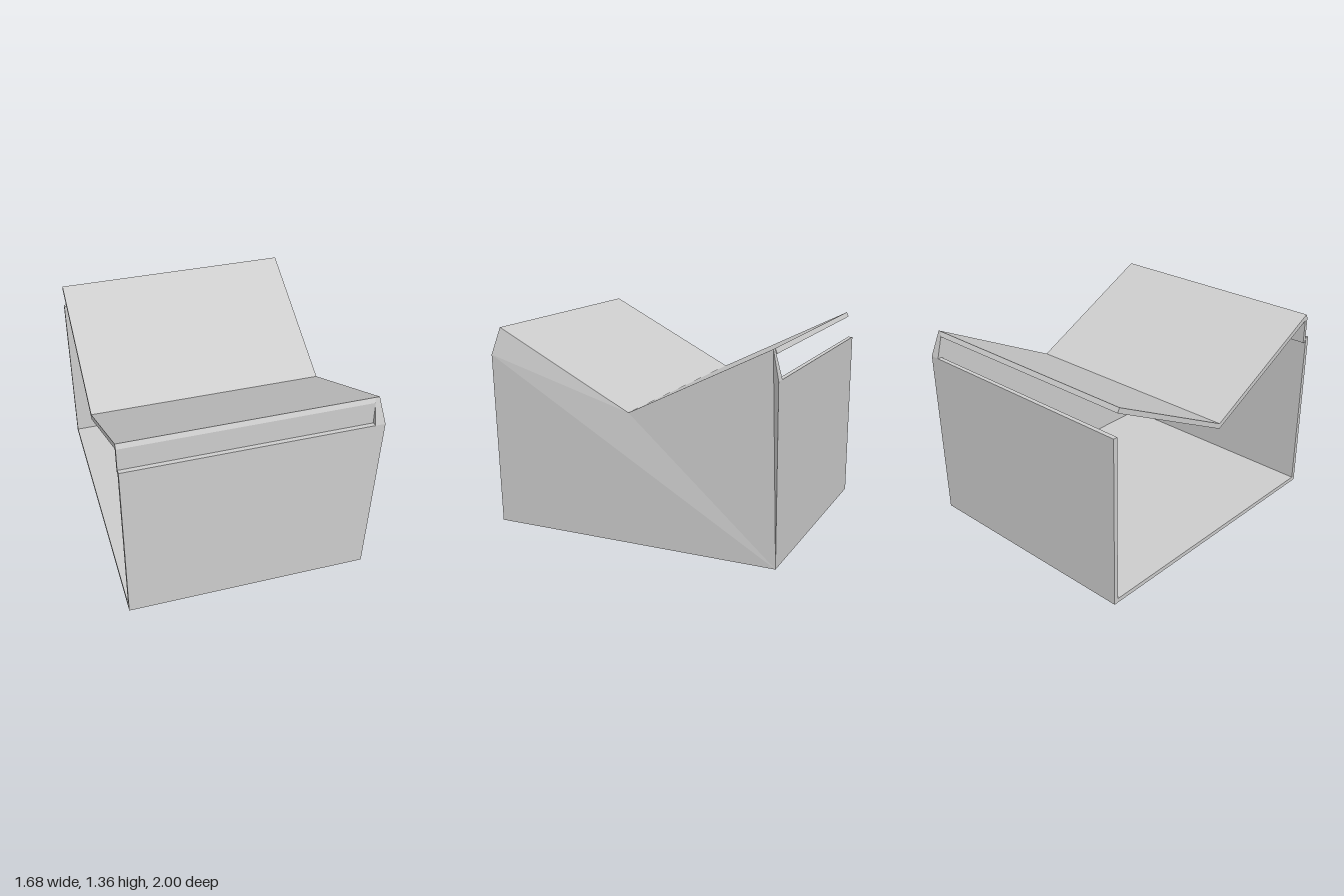
import * as THREE from 'three';

const OPEN = -0.84, INNER = 0.77, T = 0.03;

export function createModel() {
  const group = new THREE.Group();
  group.name = 'butterflyRoofShelter';
  const grey = new THREE.MeshStandardMaterial({ color: 0xcccccc });
  grey.name = 'plain grey';

  const add = (name, geometry) => {
    const mesh = new THREE.Mesh(geometry, grey);
    mesh.name = name;
    group.add(mesh);
  };

  // Panel with a [z, y] profile, running from the open end to the end wall
  const panel = (name, profile) => {
    const shape = new THREE.Shape(profile.map(([z, y]) => new THREE.Vector2(-z, y)));
    const geometry = new THREE.ExtrudeGeometry(shape, { depth: INNER - OPEN, bevelEnabled: false });
    geometry.rotateY(Math.PI / 2).translate(OPEN, 0, 0);
    add(name, geometry);
  };
  const rect = (z0, z1, y0, y1) => [[z0, y0], [z1, y0], [z1, y1], [z0, y1]];

  panel('floor', rect(-1 + T, 1 - T, 0, T));
  panel('frontWall', rect(1 - T, 1, 0, 1.18));
  panel('backWall', rect(-1, -1 + T, 0, 1.18));

  // Clerestory strip closing the front gap; the back gap stays open
  panel('frontClerestory', [[0.94, 1.15], [0.965, 1.15], [0.965, 1.33], [0.94, 1.318]]);

  // V-shaped roof with edges square to the slopes
  panel('butterflyRoof', [
    [0, 0.88], [0.95, 1.36], [0.966, 1.33], [0, 0.842], [-0.966, 1.33], [-0.95, 1.36],
  ]);

  // End wall: outline as [z, y, outer x], leaning out at the eaves
  const outline = [
    [1, 0, 0.8], [1, 1.18, 0.837], [0.95, 1.36, 0.8], [0, 0.88, 0.8],
    [-0.95, 1.36, 0.8], [-1, 1.18, 0.837], [-1, 0, 0.8],
  ];
  const outer = outline.map(([z, y, x]) => [x, y, z]);
  const inner = outline.map(([z, y]) => [INNER, y, z]);
  const points = [];
  const tri = (a, b, c) => points.push(...a, ...b, ...c);
  for (const [a, b, c] of [[0, 6, 1], [1, 3, 2], [1, 6, 3], [3, 6, 4], [4, 6, 5]]) {
    tri(outer[a], outer[b], outer[c]);
    tri(inner[a], inner[c], inner[b]);
  }
  outline.forEach((_, i) => {
    const j = (i + 1) % outline.length;
    tri(outer[i], outer[j], inner[j]);
    tri(outer[i], inner[j], inner[i]);
  });
  const endGeometry = new THREE.BufferGeometry();
  endGeometry.setAttribute('position', new THREE.Float32BufferAttribute(points, 3));
  endGeometry.computeVertexNormals();
  add('endWall', endGeometry);

  return group;
}
